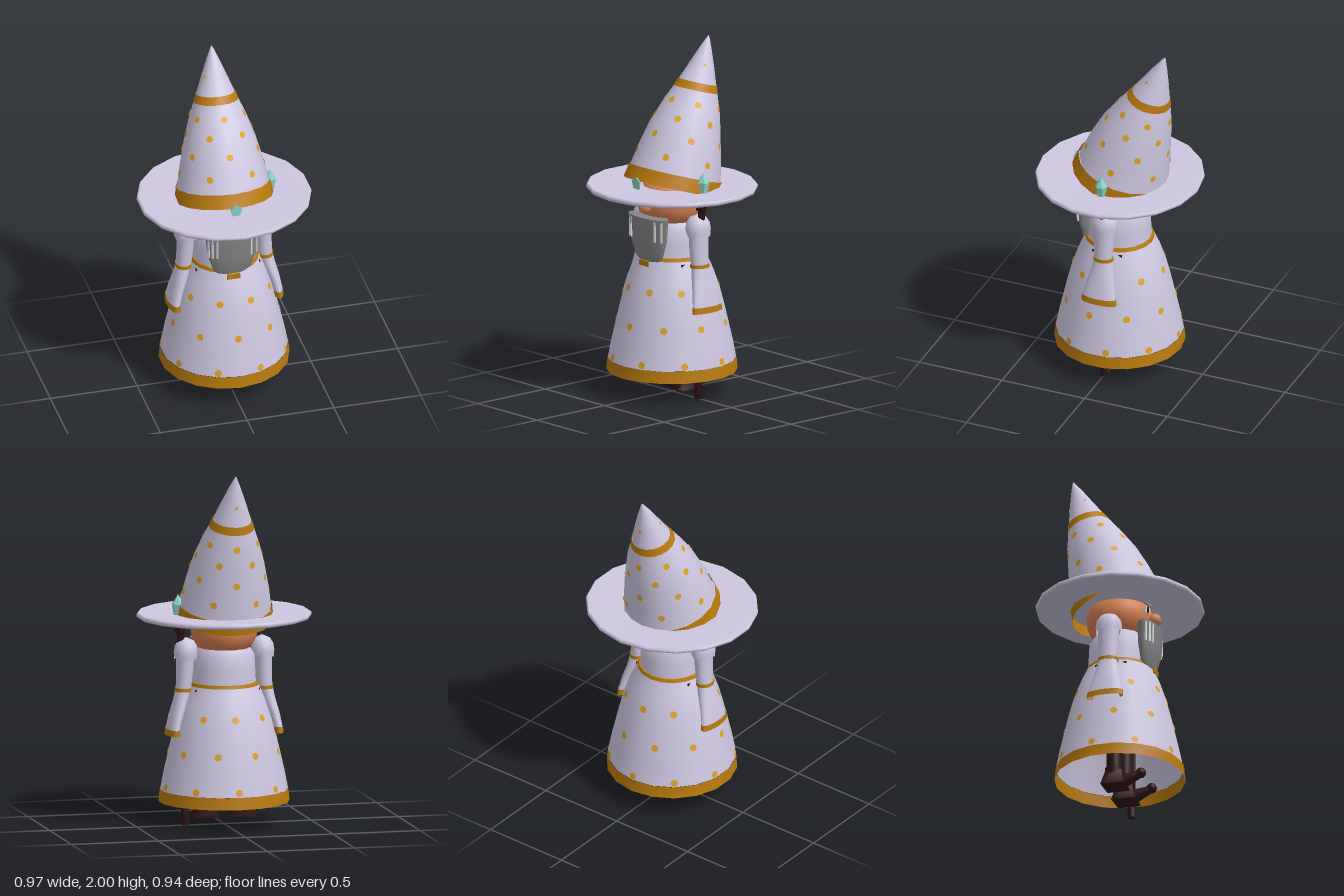
import * as THREE from 'three';

const paint = (name, color, double) => {
  const m = new THREE.MeshStandardMaterial({ color });
  m.name = name;
  if (double) m.side = THREE.DoubleSide;
  return m;
};

// A section is [cx, cy, cz, rx, rz, tilt, wave]; angle 0 faces the front.
function sectionPoint([cx, cy, cz, rx, rz, tilt = 0, wave = 0], a) {
  const d = rz * Math.cos(a);
  return new THREE.Vector3(
    cx + rx * Math.sin(a),
    cy + d * Math.sin(tilt) + wave * Math.cos(6 * a),
    cz + d * Math.cos(tilt));
}

// Skin through elliptical sections listed bottom to top, optionally capped
function loft(sections, { seg = 18, cap = false } = {}) {
  const rings = [...sections];
  if (cap) {
    const close = (s) => [s[0], s[1], s[2], 0, 0];
    const first = rings[0], last = rings[rings.length - 1];
    rings.unshift(close(first), first);
    rings.push(last, close(last));
  }
  const pos = [], index = [];
  rings.forEach((s, i) => {
    for (let j = 0; j < seg; j++) {
      pos.push(...sectionPoint(s, (j / seg) * Math.PI * 2).toArray());
      if (i === rings.length - 1) continue;
      const k = (j + 1) % seg, a = i * seg, b = a + seg;
      index.push(a + j, a + k, b + k, a + j, b + k, b + j);
    }
  });
  const g = new THREE.BufferGeometry();
  g.setAttribute('position', new THREE.Float32BufferAttribute(pos, 3));
  g.setIndex(index);
  g.computeVertexNormals();
  return g;
}

// Section at height y, blended between its neighbours
function sectionAt(sections, y) {
  let i = 0;
  while (i < sections.length - 2 && sections[i + 1][1] < y) i++;
  const a = sections[i], b = sections[i + 1];
  const t = (y - a[1]) / (b[1] - a[1]);
  return a.map((v, k) => v + (b[k] - v) * t);
}

export function createModel() {
  const root = new THREE.Group();
  root.name = 'gnomeWizard';

  const cloth = paint('lavender cloth', 0xcdc6e0, true);
  const trim = paint('gold trim', 0xb87a0c, true);
  const spot = paint('gold spots', 0xdba024, true);
  const skin = paint('skin', 0xd98052);
  const grey = paint('grey beard', 0x858587);
  const pale = paint('pale hair', 0xd4d4da);
  const dark = paint('dark brown', 0x2c1212);
  const teal = paint('teal crystal', 0x86cfc6);

  const add = (name, geometry, material, x = 0, y = 0, z = 0, parent = root) => {
    const m = new THREE.Mesh(geometry, material);
    m.name = name;
    m.position.set(x, y, z);
    parent.add(m);
    return m;
  };
  const box = (w, h, d) => new THREE.BoxGeometry(w, h, d);

  // Thin round patches lying on a lofted surface
  function addSpots(name, sections, rows, radius) {
    const disc = new THREE.CircleGeometry(radius, 8);
    for (const [y, count, offset] of rows) {
      for (let k = 0; k < count; k++) {
        const a = ((k + offset) / count) * Math.PI * 2;
        const at = (yy, aa) => sectionPoint(sectionAt(sections, yy), aa);
        const p = at(y, a);
        const du = at(y, a + 0.02).sub(at(y, a - 0.02));
        const dv = at(y + 0.01, a).sub(at(y - 0.01, a));
        const n = du.cross(dv).normalize();
        const m = add(name, disc, spot);
        m.position.copy(p).addScaledVector(n, 0.003);
        m.quaternion.setFromUnitVectors(new THREE.Vector3(0, 0, 1), n);
      }
    }
  }

  // Robe: open flared skirt, hem, torso and belt
  const round = (y, r) => [0, y, 0, r, r, 0, 0];
  const skirt = [round(0.2, 0.357), round(0.3, 0.338), round(0.4, 0.315), round(0.5, 0.292),
    round(0.6, 0.266), round(0.7, 0.232), round(0.79, 0.192)];
  add('skirt', loft(skirt), cloth);
  add('hem', loft([round(0.132, 0.366), round(0.2, 0.359)]), trim);
  addSpots('skirtSpot', skirt, [[0.225, 9, 0.5], [0.42, 9, 0], [0.62, 9, 0.5]], 0.021);
  add('torso', loft([round(0.78, 0.18), round(0.88, 0.174), round(0.96, 0.17), round(1.0, 0.14)], { cap: true }), cloth);
  add('belt', loft([round(0.785, 0.194), round(0.805, 0.188)], { cap: true }), trim);
  add('buckle', box(0.075, 0.03, 0.01), trim, 0, 0.77, 0.207);

  // Head with nose, eyes and brows
  const head = add('head', new THREE.SphereGeometry(0.188, 24, 16), skin, 0, 1.105, 0);
  head.scale.y = 0.87;
  add('nose', new THREE.SphereGeometry(0.038, 14, 10), skin, 0, 1.09, 0.2);
  for (const s of [-1, 1]) {
    const face = new THREE.Group();
    face.name = 'eye';
    face.position.set(s * 0.068, 1.125, 0.178);
    face.rotation.y = s * 0.36;
    root.add(face);
    add('eyeWhite', box(0.044, 0.044, 0.008), pale, 0, 0, 0, face);
    add('pupil', box(0.018, 0.036, 0.006), dark, 0, 0, 0.004, face);
    add('eyebrow', box(0.065, 0.016, 0.009), grey, 0, 0.038, 0.002, face).rotation.z = s * 0.2;
  }

  // Beard with a few pale strands
  const beard = [
    [0, 0.768, 0.165, 0.065, 0.022], [0, 0.8, 0.167, 0.105, 0.036],
    [0, 0.9, 0.172, 0.14, 0.054], [0, 1.035, 0.175, 0.155, 0.06]];
  add('beard', loft(beard, { cap: true }), grey);
  for (const a of [-1.25, -0.95, -0.7, 0.75, 1.15]) {
    const low = sectionPoint(beard[2], a), high = sectionPoint(beard[3], a);
    const strand = add('beardStrand', box(0.012, 0.12, 0.008), pale);
    strand.position.copy(low.add(high).multiplyScalar(0.5));
    strand.rotation.y = a * 0.6;
  }

  // Arms: scalloped puff, upper sleeve, band, flared lower sleeve and cuff
  for (const s of [-1, 1]) {
    const arm = new THREE.Group();
    arm.name = s > 0 ? 'leftArm' : 'rightArm';
    root.add(arm);
    const sec = (x, y, rx, rz, wave = 0) => [s * x, y, 0, rx, rz, 0, wave];
    add('shoulderPuff', loft([sec(0.222, 0.942, 0.062, 0.07, -0.012), sec(0.22, 0.975, 0.066, 0.075),
      sec(0.219, 1.01, 0.062, 0.069), sec(0.218, 1.04, 0.045, 0.048), sec(0.217, 1.06, 0, 0)],
    { seg: 24 }), cloth, 0, 0, 0, arm);
    add('upperSleeve', loft([sec(0.233, 0.77, 0.043, 0.052), sec(0.226, 0.86, 0.046, 0.058),
      sec(0.222, 0.97, 0.05, 0.06)]), cloth, 0, 0, 0, arm);
    add('sleeveBand', loft([sec(0.234, 0.757, 0.047, 0.058), sec(0.233, 0.776, 0.047, 0.058)],
      { cap: true }), trim, 0, 0, 0, arm);
    add('lowerSleeve', loft([sec(0.294, 0.545, 0.034, 0.1), sec(0.276, 0.62, 0.038, 0.085),
      sec(0.25, 0.7, 0.042, 0.066), sec(0.235, 0.765, 0.043, 0.053)]), cloth, 0, 0, 0, arm);
    add('cuff', loft([sec(0.297, 0.513, 0.036, 0.107), sec(0.294, 0.548, 0.036, 0.103)]), trim, 0, 0, 0, arm);
    add('beltPouch', box(0.04, 0.012, 0.18), dark, s * 0.165, 0.766, 0);

    // Legs and boots
    const x = s * 0.106;
    add('leg', new THREE.CylinderGeometry(0.045, 0.045, 0.28, 12), dark, x, 0.26, 0);
    add('bootCuff', new THREE.CylinderGeometry(0.055, 0.052, 0.04, 12), dark, x, 0.135, 0);
    add('boot', loft([[x, 0.045, 0.003, 0.088, 0.094], [x, 0.13, 0, 0.07, 0.06]].map((q) => q),
      { seg: 4, cap: true }).translate(-x, 0, 0).rotateY(Math.PI / 4).translate(x, 0, 0), dark);
    const toe = add('toe', new THREE.CylinderGeometry(0.022, 0.045, 0.12, 8), dark, x, 0.088, 0.09);
    toe.rotation.x = Math.PI / 2 - 0.3;
    add('toeKnob', new THREE.SphereGeometry(0.03, 10, 8), dark, x, 0.112, 0.152);
  }

  // Staff leaning outwards, topped by a crystal in a claw
  const staff = new THREE.Group();
  staff.name = 'staff';
  staff.position.set(0.22, 0, 0);
  staff.rotation.z = -0.028;
  root.add(staff);
  add('staffPole', new THREE.CylinderGeometry(0.02, 0.023, 1.1, 8), dark, 0, 0.551, 0, staff);
  add('staffHead', new THREE.CylinderGeometry(0.03, 0.018, 0.06, 8), dark, 0, 1.09, 0, staff);
  for (let k = 0; k < 4; k++) {
    const a = (k / 4) * Math.PI * 2;
    add('claw', box(0.014, 0.08, 0.014), dark, 0.026 * Math.sin(a), 1.13, 0.03 * Math.cos(a), staff);
  }
  const gem = new THREE.CylinderGeometry(0.036, 0.018, 0.13, 6).toNonIndexed();
  const point = new THREE.ConeGeometry(0.036, 0.055, 6).toNonIndexed();
  gem.computeVertexNormals();
  point.computeVertexNormals();
  add('crystal', gem, teal, 0.008, 1.185, 0, staff);
  add('crystalPoint', point, teal, 0.008, 1.277, 0, staff);

  // Hat brim: broad thin disc with a rounded rim
  const disc = (y, k) => [0, y, 0, 0.49 * k, 0.47 * k];
  add('hatBrim', loft([disc(1.17, 0), disc(1.17, 0.96), disc(1.166, 0.98), disc(1.172, 0.995), disc(1.181, 1),
    disc(1.19, 0.995), disc(1.196, 0.98), disc(1.19, 0.96), disc(1.188, 0)]), cloth);

  // Pointed hat: tilted rings leaning backwards
  const ring = (y, z, r) => [0, y, z, r, r, 0.285, 0];
  const cone = [ring(1.245, -0.025, 0.258), ring(1.37, -0.06, 0.233), ring(1.5, -0.1, 0.2),
    ring(1.61, -0.142, 0.163), ring(1.705, -0.176, 0.124)];
  add('hatCone', loft(cone), cloth);
  add('hatBand', loft([ring(1.175, 0, 0.276), ring(1.25, -0.026, 0.264)]), trim);
  add('upperHatBand', loft([ring(1.703, -0.175, 0.127), ring(1.745, -0.19, 0.111)]), trim);
  const tip = [ring(1.742, -0.189, 0.108), ring(1.84, -0.222, 0.07), ring(1.93, -0.25, 0.034),
    ring(1.985, -0.268, 0.009), ring(2.0, -0.272, 0)];
  add('hatTip', loft(tip), cloth);
  addSpots('hatSpot', cone, [[1.33, 6, 0.5], [1.44, 6, 0], [1.54, 6, 0.5], [1.63, 6, 0]], 0.02);
  addSpots('tipSpot', tip, [[1.84, 3, 0.5]], 0.01);

  // Five-sided jewel on the hat front
  const jewel = new THREE.CylinderGeometry(0.036, 0.036, 0.009, 5).rotateX(Math.PI / 2);
  add('hatJewel', jewel, teal, 0, 1.235, 0.264).rotation.z = Math.PI;
  return root;
}
